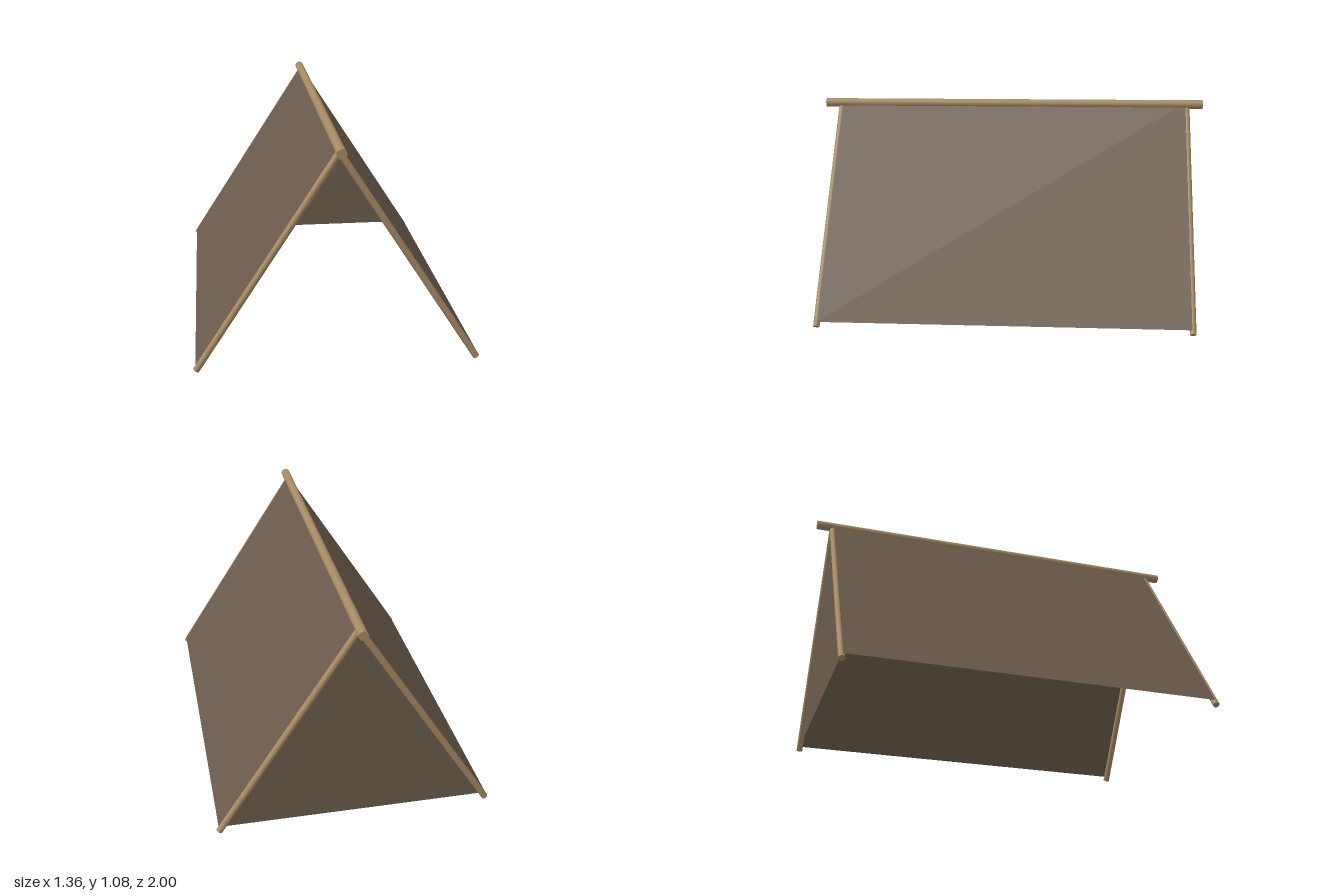
import * as THREE from 'three';

const wood = new THREE.MeshStandardMaterial({ color: 0xa58a64 });
const cloth = new THREE.MeshStandardMaterial({ color: 0x6b5b4b, side: THREE.DoubleSide });

// Round pole between two points
function pole(name, a, b, radius, sides) {
  const dir = b.clone().sub(a);
  const mesh = new THREE.Mesh(new THREE.CylinderGeometry(radius, radius, dir.length(), sides), wood);
  mesh.position.copy(a).add(b).multiplyScalar(0.5);
  mesh.quaternion.setFromUnitVectors(new THREE.Vector3(0, 1, 0), dir.normalize());
  mesh.name = name;
  return mesh;
}

// Flat sheet of cloth from three or four corners
function sheet(name, corners) {
  const geometry = new THREE.BufferGeometry();
  geometry.setAttribute('position', new THREE.Float32BufferAttribute(corners.flat(), 3));
  geometry.setIndex(corners.length === 4 ? [0, 1, 2, 0, 2, 3] : [0, 1, 2]);
  geometry.computeVertexNormals();
  const mesh = new THREE.Mesh(geometry, cloth);
  mesh.name = name;
  return mesh;
}

export function createModel() {
  const tent = new THREE.Group();
  tent.name = 'tent';
  const V = (x, y, z) => new THREE.Vector3(x, y, z);
  const legZ = 0.917, hemX = 0.667, hemY = 0.033, peakY = 1.068;

  // Ridge pole, overhanging both ends
  tent.add(pole('ridgePole', V(0, 1.055, -1), V(0, 1.055, 1), 0.023, 20));

  for (const side of [1, -1]) {
    const label = side > 0 ? 'left' : 'right';

    // Slanted legs at the front and the back
    for (const z of [legZ, -legZ]) {
      const end = z > 0 ? 'Front' : 'Back';
      tent.add(pole(label + end + 'Leg', V(side * 0.6645, 0.009, z), V(0, 1.041, z), 0.016, 16));
    }

    // Roof cloth, wound so that its normal points outward
    const corners = [
      [side * hemX, hemY, legZ], [side * hemX, hemY, -legZ],
      [0, peakY, -legZ], [0, peakY, legZ],
    ];
    tent.add(sheet(label + 'RoofCloth', side > 0 ? corners : corners.reverse()));
  }

  // Triangular cloth closing the back; the front stays open
  tent.add(sheet('backCloth', [
    [hemX - 0.01, hemY, -legZ], [-hemX + 0.01, hemY, -legZ], [0, 1.05, -legZ],
  ]));

  return tent;
}
